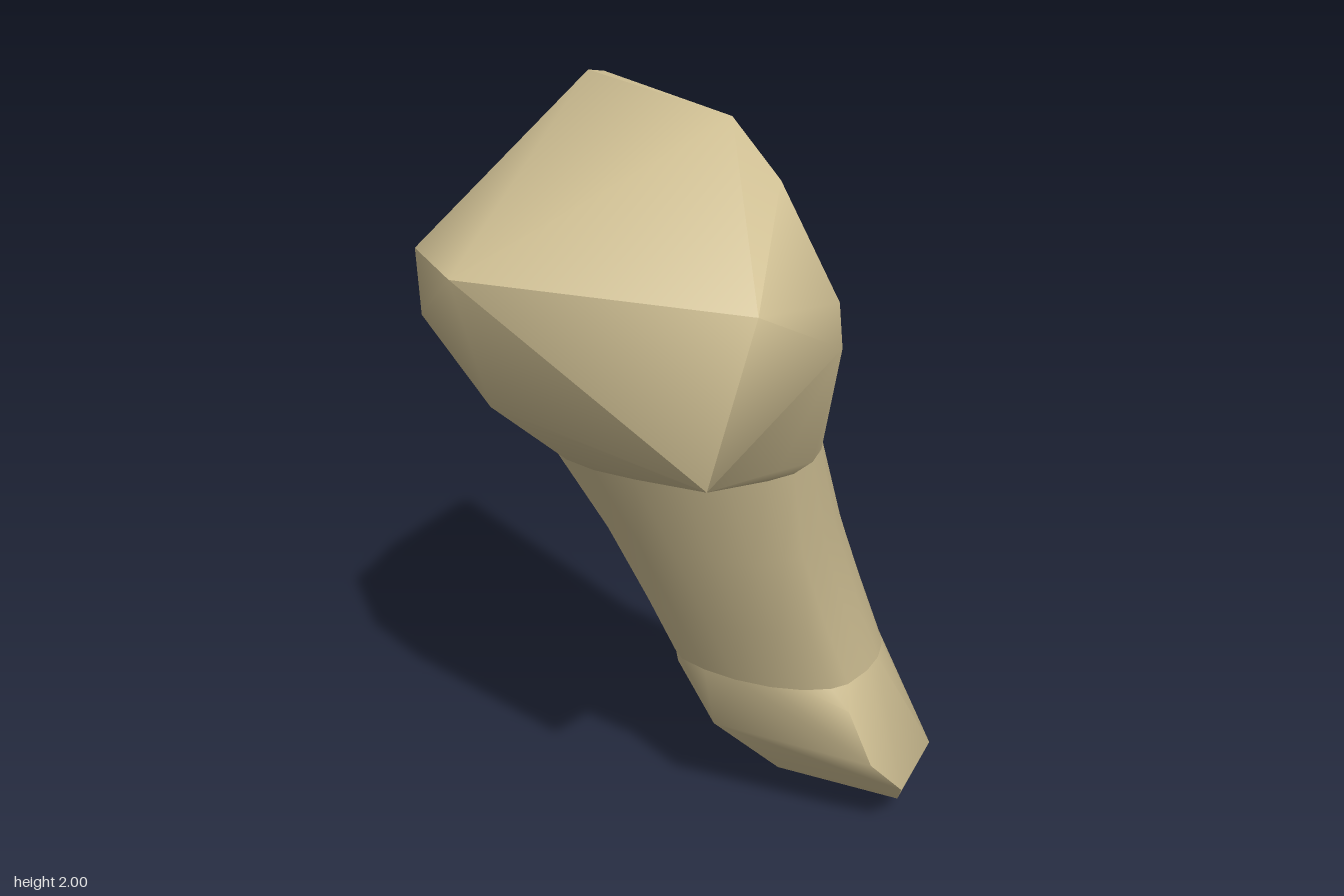
import * as THREE from 'three';
import { ConvexGeometry } from 'three/addons/geometries/ConvexGeometry.js';
import { toCreasedNormals } from 'three/addons/utils/BufferGeometryUtils.js';

// Corner points of the broad upper head
const HEAD = [
  [-0.28, 1.98, 0.06], [-0.275, 1.97, 0.02], [0.19, 2.00, 0.09], [0.324, 1.905, 0.088],
  [0.52, 1.76, 0.34], [0.50, 1.71, 0.10], [0.53, 1.63, 0.12],
  [-0.08, 1.72, 0.595], [-0.36, 1.67, 0.48], [-0.53, 1.57, 0.24],
  [-0.37, 1.51, 0.47], [-0.10, 1.40, 0.50], [0.49, 1.42, 0.44], [0.39, 1.31, 0.14],
];

// Corner points of the small lower knuckle
const KNUCKLE = [
  [-0.07, 0.00, -0.36], [0.28, 0.05, -0.45], [0.38, 0.20, -0.34],
  [0.30, 0.20, -0.54], [0.13, 0.20, -0.595], [0.15, 0.14, -0.59],
  [-0.21, 0.22, -0.47], [-0.21, 0.20, -0.24], [-0.23, 0.38, -0.14],
  [0.00, 0.35, -0.05], [0.36, 0.32, -0.24], [0.315, 0.48, -0.20],
];

// Shaft rings: height, right edge (x, z), left edge (x, z), front edge (z, x), back edge (z, x)
const SHAFT = [
  [0.54, -0.215, -0.22, 0.29, -0.22, 0.00, -0.06, -0.475, 0.07],
  [0.75, -0.21, -0.13, 0.292, -0.13, 0.10, -0.05, -0.39, 0.06],
  [1.00, -0.225, -0.01, 0.315, -0.02, 0.222, -0.04, -0.285, 0.05],
  [1.25, -0.305, 0.08, 0.345, 0.05, 0.36, -0.03, -0.175, 0.06],
];
const SIDES = 24;

// Four rounded quarters joined at the extreme points; the front is flatter than the back
function ringPoints([y, xr, zr, xl, zl, zf, xf, zb, xb]) {
  return Array.from({ length: SIDES }, (_, i) => {
    const t = (i / SIDES) * Math.PI * 2;
    const c = Math.cos(t), s = Math.sin(t);
    const [ax, az] = c >= 0 ? [xl, zl] : [xr, zr];
    const [bx, bz, power] = s >= 0 ? [xf, zf, 1.2] : [xb, zb, 0.9];
    const u = Math.abs(c) ** power, v = Math.abs(s) ** power;
    return [bx + (ax - bx) * u, y, az + (bz - az) * v];
  });
}

// Convex lump around corner points, smooth except at strong ridges
function lump(points) {
  const geometry = new ConvexGeometry(points.map((p) => new THREE.Vector3(...p)));
  return toCreasedNormals(geometry, 0.9);
}

// Open tube through the rings
function loft(rings) {
  const index = [];
  for (let j = 0; j < rings.length - 1; j++) {
    for (let i = 0; i < SIDES; i++) {
      const a = j * SIDES + i, b = j * SIDES + ((i + 1) % SIDES);
      index.push(a, a + SIDES, b, b, a + SIDES, b + SIDES);
    }
  }
  const geometry = new THREE.BufferGeometry();
  geometry.setAttribute('position', new THREE.Float32BufferAttribute(rings.flat(2), 3));
  geometry.setIndex(index);
  geometry.computeVertexNormals();
  return geometry;
}

export function createModel() {
  const group = new THREE.Group();
  group.name = 'bone';
  const tan = new THREE.MeshStandardMaterial({ color: 0xd0c094 });
  tan.name = 'bone tan';

  // The end rings of the shaft also close the two lumps, so the skin is continuous
  const rings = SHAFT.map(ringPoints);
  const parts = {
    head: lump([...HEAD, ...rings[rings.length - 1]]),
    shaft: loft(rings),
    knuckle: lump([...KNUCKLE, ...rings[0]]),
  };
  for (const [name, geometry] of Object.entries(parts)) {
    const mesh = new THREE.Mesh(geometry, tan);
    mesh.name = name;
    group.add(mesh);
  }
  return group;
}
